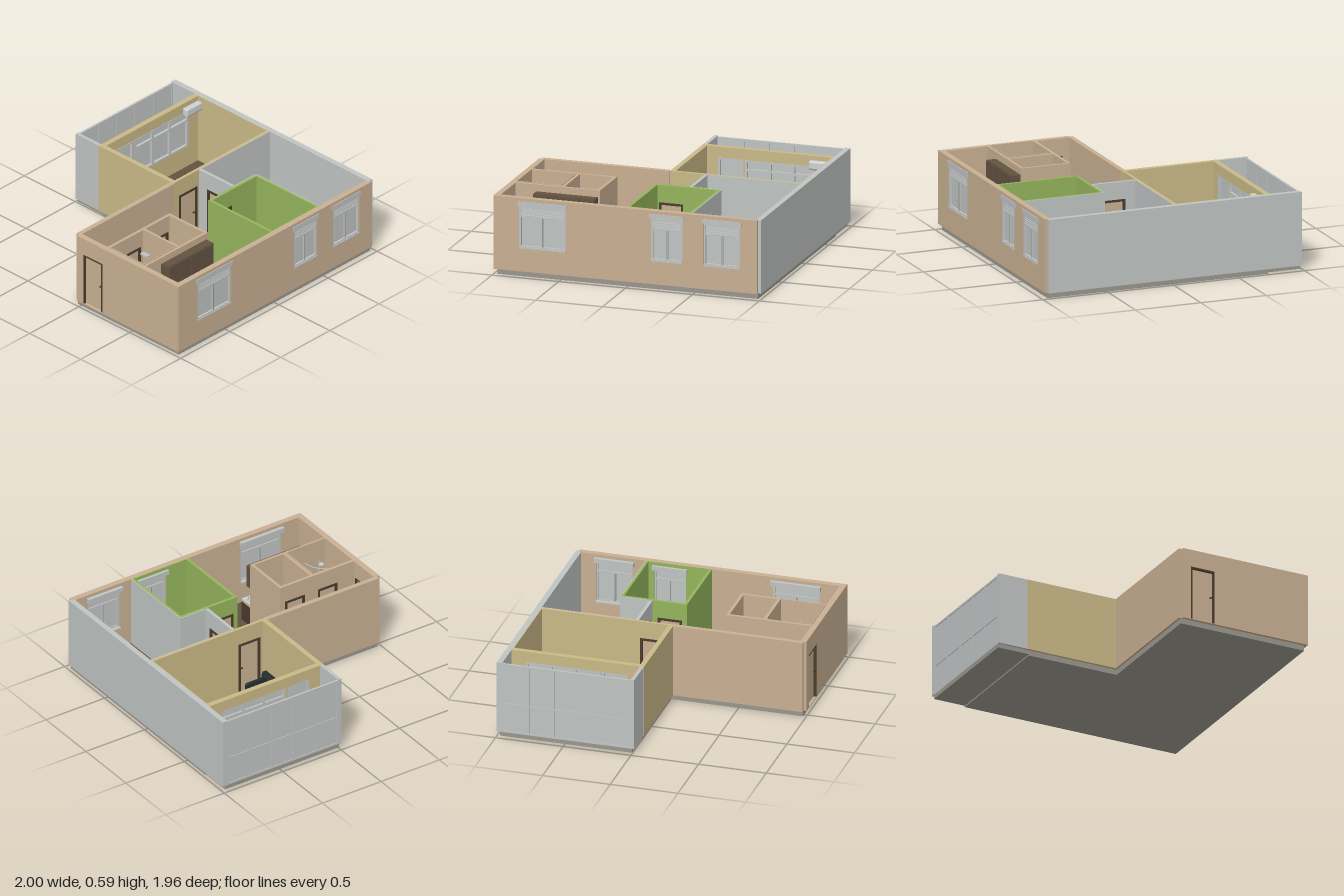
import * as THREE from 'three';
import { RoundedBoxGeometry } from 'three/addons/geometries/RoundedBoxGeometry.js';

const mat = (name, color) => {
  const m = new THREE.MeshStandardMaterial({ color });
  m.name = name;
  return m;
};

export function createModel() {
  const model = new THREE.Group();
  model.name = 'apartment';
  const TAN = mat('tan plaster', 0xc8af92), GREY = mat('light grey', 0xbfc3c2);
  const CONCRETE = mat('concrete', 0x99968d), FLOOR = mat('brown floor', 0x625241);
  const TEAL = mat('balcony green', 0x3a6f5d), GREEN = mat('green plaster', 0x94b45c);
  const KHAKI = mat('khaki plaster', 0xc9b987), DARK = mat('dark leather', 0x222d2e);
  const WOOD = mat('dark wood', 0x4a3a2d), WHITE = mat('white fixtures', 0xcdd1d1);
  const Y0 = 0.04, Y1 = 0.58, FY = 0.046, DOOR = 0.45;

  const add = (name, geo, m, parent = model) => {
    const mesh = new THREE.Mesh(geo, m);
    mesh.name = name;
    parent.add(mesh);
    return mesh;
  };
  const group = (name) => {
    const g = new THREE.Group();
    g.name = name;
    model.add(g);
    return g;
  };
  // Box from its limits
  const box = (name, m, x0, x1, y0, y1, z0, z1, parent) => add(name,
    new THREE.BoxGeometry(x1 - x0, y1 - y0, z1 - z0).translate((x0 + x1) / 2, (y0 + y1) / 2, (z0 + z1) / 2), m, parent);
  const soft = (name, m, x0, x1, y0, y1, z0, z1, parent) => add(name,
    new RoundedBoxGeometry(x1 - x0, y1 - y0, z1 - z0, 2, 0.012).translate((x0 + x1) / 2, (y0 + y1) / 2, (z0 + z1) / 2), m, parent);
  // Wall along its longer side, with openings [start, end, bottom, top]
  const wall = (name, m, x0, x1, z0, z1, openings = [], top = Y1) => {
    const alongX = x1 - x0 > z1 - z0;
    const [a, b] = alongX ? [x0, x1] : [z0, z1];
    const rect = (T, l, r, lo, hi) => new T([[l, lo], [r, lo], [r, hi], [l, hi]].map(p => new THREE.Vector2(...p)));
    const shape = rect(THREE.Shape, a, b, Y0, top);
    openings.forEach(o => shape.holes.push(rect(THREE.Path, ...o)));
    const geo = new THREE.ExtrudeGeometry(shape, { depth: alongX ? z1 - z0 : x1 - x0, bevelEnabled: false });
    if (alongX) geo.translate(0, 0, z0);
    else geo.rotateY(-Math.PI / 2).translate(x1, 0, 0);
    return add(name, geo, m);
  };
  const doorway = (a, b) => [a, b, Y0 + 0.004, DOOR];
  // Door with frame; axis tells which way the wall runs, c0..c1 is its thickness
  const door = (name, axis, a, b, c0, c1, leaf = TAN) => {
    const g = group(name), e = 0.006, w = 0.014, mid = (c0 + c1) / 2;
    const bar = (n, m, p, q, y0, y1, r, s) => axis === 'x' ? box(n, m, p, q, y0, y1, r, s, g) : box(n, m, r, s, y0, y1, p, q, g);
    bar('frameSide', WOOD, a - 0.002, a + w, FY, DOOR, c0 - e, c1 + e);
    bar('frameSide', WOOD, b - w, b + 0.002, FY, DOOR, c0 - e, c1 + e);
    bar('frameTop', WOOD, a - 0.002, b + 0.002, DOOR - w, DOOR + 0.002, c0 - e, c1 + e);
    bar('leaf', leaf, a + w, b - w, FY, DOOR - w, mid - 0.004, mid + 0.004);
    bar('handle', WOOD, b - 0.035, b - 0.02, 0.24, 0.25, mid - 0.014, mid + 0.014);
  };

  // Slabs and floors
  box('mainSlab', CONCRETE, -0.975, 0.975, 0, Y0, -0.03, 0.955);
  box('rearSlab', CONCRETE, 0, 0.975, 0, Y0, -0.73, -0.03);
  box('balconySlab', CONCRETE, 0, 0.975, 0.01, Y0, -0.975, -0.73);
  box('mainFloor', FLOOR, -0.957, 0.957, Y0, FY, -0.012, 0.932);
  box('rearFloor', FLOOR, 0.015, 0.957, Y0, FY, -0.712, -0.012);
  box('balconyFloor', TEAL, 0.01, 0.96, Y0, FY, -0.972, -0.748);
  box('bathroomFloor', TAN, -0.955, -0.61, Y0, 0.05, 0.26, 0.6);
  box('closetFloor', TAN, -0.6, -0.34, Y0, 0.05, 0.26, 0.6);
  [[-0.59, -0.535, 0.42], [-0.535, -0.475, 0.485], [-0.475, -0.41, 0.55]].forEach(([a, b, z]) =>
    box('closetFloorPatch', CONCRETE, a, b, 0.05, 0.054, z, 0.597));

  // Outer walls
  const windows = [[-0.805, -0.46, 0.215, 0.525], [0.18, 0.415, 0.215, 0.525], [0.575, 0.845, 0.215, 0.525]];
  wall('frontWall', TAN, -0.998, 0.975, 0.932, 0.975, windows);
  wall('leftWall', TAN, -0.998, -0.955, -0.02, 0.932, [doorway(0.04, 0.23)]);
  wall('hallBackWall', TAN, -0.978, -0.02, -0.046, -0.01);
  wall('rightWall', GREY, 0.957, 0.998, -0.98, 0.955);
  wall('rearLeftWall', KHAKI, -0.02, 0.017, -0.73, -0.015);
  wall('rearFrontWall', KHAKI, 0.017, 0.957, -0.04, -0.017, [doorway(0.04, 0.22)]);
  wall('rearFrontLining', GREY, 0.262, 0.957, -0.017, -0.012);
  wall('rearRightLining', KHAKI, 0.95, 0.957, -0.712, -0.04);
  const balconyOpenings = [[0.1, 0.29, Y0 + 0.004, 0.5], [0.29 + 0.012, 0.85, 0.21, 0.5]];
  wall('balconyWall', KHAKI, -0.02, 0.957, -0.75, -0.71, balconyOpenings);
  door('entranceDoor', 'z', 0.04, 0.23, -0.99, -0.963);
  door('livingRoomDoor', 'x', 0.04, 0.22, -0.04, -0.017);

  // Inner walls
  wall('studyPartition', GREY, 0.24, 0.264, -0.017, 0.315, [doorway(0.07, 0.25)]);
  door('studyDoor', 'z', 0.07, 0.25, 0.24, 0.264);
  wall('bedroomBackWall', GREEN, -0.012, 0.478, 0.318, 0.34, [doorway(0.025, 0.2)]);
  door('bedroomDoor', 'x', 0.025, 0.2, 0.318, 0.34);
  wall('bedroomLeftWall', GREEN, -0.012, 0.01, 0.34, 0.932);
  wall('bedroomRightWall', GREEN, 0.456, 0.474, 0.34, 0.932);
  wall('bedroomRightLining', GREY, 0.474, 0.48, 0.318, 0.932);
  wall('bedroomBackLining', GREY, 0.264, 0.48, 0.311, 0.318);
  wall('bedroomFrontLining', GREEN, 0.01, 0.456, 0.925, 0.932, [windows[1]]);
  wall('bathroomBackWall', TAN, -0.955, -0.325, 0.24, 0.263, [doorway(-0.81, -0.65), doorway(-0.53, -0.37)]);
  wall('bathroomFrontWall', TAN, -0.955, -0.325, 0.596, 0.616);
  wall('bathroomDivider', TAN, -0.618, -0.595, 0.263, 0.596);
  wall('closetRightWall', TAN, -0.347, -0.325, 0.263, 0.596);
  wall('bathroomTilesLeft', TAN, -0.955, -0.95, 0.275, 0.596, [], 0.587);
  wall('bathroomTilesFront', TAN, -0.95, -0.618, 0.591, 0.596, [], 0.587);
  wall('bathroomTilesRight', TAN, -0.623, -0.618, 0.275, 0.591, [], 0.587);
  door('bathroomDoor', 'x', -0.81, -0.65, 0.24, 0.263);
  door('closetDoor', 'x', -0.53, -0.37, 0.24, 0.263);

  // Front windows with shutters and roller boxes
  windows.forEach(([x0, x1, y0, y1]) => {
    const g = group('frontWindow'), mid = (x0 + x1) / 2, t = 0.014;
    box('pane', GREY, x0, x1, y0, y1, 0.95, 0.956, g);
    [x0, x1 - t].forEach(x => box('frameSide', GREY, x, x + t, y0, y1, 0.94, 0.973, g));
    [y0, 0.44, y1 - t].forEach(y => box('frameRail', GREY, x0 + t, x1 - t, y, y + t, 0.941, 0.972, g));
    box('mullion', GREY, mid - 0.008, mid + 0.008, y0 + t, 0.44, 0.942, 0.966, g);
    box('mullionSeam', CONCRETE, mid - 0.003, mid + 0.003, y0 + t, 0.44, 0.94, 0.968, g);
    for (let i = 0; i < 4; i++) {
      const y = 0.458 + i * 0.014;
      box('shutterSlat', GREY, x0 + t, x1 - t, y, y + 0.01, 0.95, 0.97, g);
    }
    box('rollerBoxOutside', GREY, x0 - 0.012, x1 + 0.012, 0.523, 0.556, 0.97, 0.98, g);
    box('rollerBoxInside', GREY, x0 - 0.012, x1 + 0.012, 0.523, 0.556, 0.905, 0.934, g);
    box('sill', GREY, x0, x1, y0 - 0.006, y0 + 0.004, 0.915, 0.978, g);
  });

  // Balcony door and window
  const bw = group('balconyDoorAndWindow');
  balconyOpenings.forEach(([x0, x1, y0, y1], k) => {
    box('pane', GREY, x0, x1, y0, y1, -0.733, -0.727, bw);
    const n = k ? 3 : 1;
    for (let i = 0; i <= n; i++) {
      const x = x0 + 0.008 + (x1 - x0 - 0.016) * i / n;
      box('post', GREY, x - 0.008, x + 0.008, y0, y1, -0.748, -0.706, bw);
    }
    [y0, k ? 0.42 : 0.21, y1 - 0.014].forEach(y => box('rail', GREY, x0, x1, y, y + 0.014, -0.747, -0.707, bw));
  });

  // Glazed balcony
  const balcony = group('balcony');
  box('sideWall', GREY, -0.018, 0.008, Y0, Y1, -0.978, -0.75, balcony);
  box('glazing', GREY, 0.008, 0.957, Y0, 0.565, -0.972, -0.966, balcony);
  for (let i = 0; i <= 5; i++) {
    const x = 0.014 + 0.937 * i / 5;
    box('post', GREY, x - 0.006, x + 0.006, Y0, 0.57, -0.978, -0.961, balcony);
  }
  [Y0, 0.255, 0.56].forEach(y => box('rail', GREY, 0.008, 0.957, y, y + 0.014, -0.977, -0.962, balcony));

  // Sofas with their backs to the left
  const sofa = (name, x0, x1, z0, z1, seats) => {
    const g = group(name), arm = 0.025;
    soft('base', DARK, x0, x1, 0.055, 0.105, z0, z1, g);
    soft('back', DARK, x0, x0 + 0.04, 0.06, 0.21, z0, z1, g);
    [z0, z1 - arm].forEach(z => soft('arm', DARK, x0, x1, 0.06, 0.165, z, z + arm, g));
    const w = (z1 - z0 - 2 * arm) / seats;
    for (let i = 0; i < seats; i++) {
      const z = z0 + arm + i * w;
      soft('seatCushion', DARK, x0 + 0.04, x1 + 0.003, 0.095, 0.135, z + 0.002, z + w - 0.002, g);
      soft('backCushion', DARK, x0 + 0.02, x0 + 0.065, 0.13, 0.215, z + 0.002, z + w - 0.002, g);
    }
    [x0 + 0.02, x1 - 0.02].forEach(x => [z0 + 0.02, z1 - 0.02].forEach(z =>
      box('foot', DARK, x - 0.008, x + 0.008, FY, 0.06, z - 0.008, z + 0.008, g)));
  };
  sofa('livingRoomSofa', 0.03, 0.215, -0.635, -0.105, 3);
  sofa('bedroomSofa', 0.025, 0.19, 0.435, 0.77, 2);

  // Air conditioner
  const ac = group('airConditioner');
  soft('body', WHITE, 0.79, 0.948, 0.485, 0.55, -0.71, -0.662, ac);
  box('vent', CONCRETE, 0.8, 0.94, 0.492, 0.499, -0.664, -0.66, ac);

  // Kitchen
  const kitchen = group('kitchen');
  box('stove', DARK, -0.935, -0.805, FY, 0.215, 0.622, 0.755, kitchen);
  [-0.9, -0.84].forEach(x => [0.658, 0.72].forEach(z =>
    add('burner', new THREE.TorusGeometry(0.018, 0.003, 6, 20).rotateX(Math.PI / 2).translate(x, 0.216, z), GREY, kitchen)));
  box('baseCabinet', WOOD, -0.8, -0.34, FY, 0.2, 0.616, 0.745, kitchen);
  box('worktop', TAN, -0.803, -0.338, 0.2, 0.215, 0.616, 0.752, kitchen);
  box('upperCabinet', FLOOR, -0.8, -0.34, 0.36, 0.53, 0.616, 0.686, kitchen);
  for (let i = 0; i < 4; i++) {
    const x = -0.8 + i * 0.115;
    box('upperDoor', FLOOR, x + 0.004, x + 0.111, 0.366, 0.524, 0.686, 0.692, kitchen);
    box('lowerDoor', FLOOR, x + 0.004, x + 0.111, 0.07, 0.19, 0.745, 0.75, kitchen);
    box('handle', GREY, x + 0.035, x + 0.08, 0.178, 0.183, 0.75, 0.757, kitchen);
  }
  box('sinkPlate', WHITE, -0.59, -0.345, 0.215, 0.219, 0.63, 0.748, kitchen);
  [-0.525, -0.41].forEach(x => {
    const rim = new THREE.TorusGeometry(0.05, 0.006, 6, 24).scale(1, 0.85, 1).rotateX(Math.PI / 2);
    add('sinkRim', rim.translate(x, 0.22, 0.69), GREY, kitchen);
  });

  // Bathroom fixtures
  const bath = group('bathroomFixtures');
  const bowl = [[0, 0], [0.028, 0], [0.025, 0.03], [0.045, 0.075], [0.045, 0.084], [0.034, 0.084], [0.02, 0.06], [0, 0.055]];
  add('toiletBowl', new THREE.LatheGeometry(bowl.map(p => new THREE.Vector2(...p)), 24).scale(1, 1, 1.15).translate(-0.897, 0.05, 0.335), WHITE, bath);
  soft('toiletTank', WHITE, -0.945, -0.85, 0.11, 0.205, 0.265, 0.3, bath);
  soft('washingMachine', WHITE, -0.75, -0.63, 0.05, 0.22, 0.455, 0.585, bath);
  add('washerWindow', new THREE.CylinderGeometry(0.04, 0.04, 0.006, 24).rotateX(Math.PI / 2).translate(-0.69, 0.13, 0.453), DARK, bath);
  box('shelf', GREY, -0.66, -0.623, 0.4, 0.41, 0.275, 0.34, bath);
  const quarter = r => new THREE.CylinderGeometry(r, r, 0.03, 24, 1, false, Math.PI / 2, Math.PI / 2);
  add('showerTray', quarter(0.175).translate(-0.95, 0.065, 0.591), WHITE, bath);
  add('showerRim', new THREE.TorusGeometry(0.172, 0.007, 6, 24, Math.PI / 2).rotateX(-Math.PI / 2).translate(-0.95, 0.085, 0.591), GREY, bath);
  add('showerTopRail', new THREE.TorusGeometry(0.172, 0.004, 6, 24, Math.PI / 2).rotateX(-Math.PI / 2).translate(-0.95, 0.44, 0.591), GREY, bath);
  add('showerPole', new THREE.CylinderGeometry(0.004, 0.004, 0.35, 8).translate(-0.89, 0.25, 0.58), GREY, bath);
  add('showerHead', new THREE.CylinderGeometry(0.01, 0.022, 0.012, 16).translate(-0.89, 0.42, 0.55), GREY, bath);
  return model;
}
